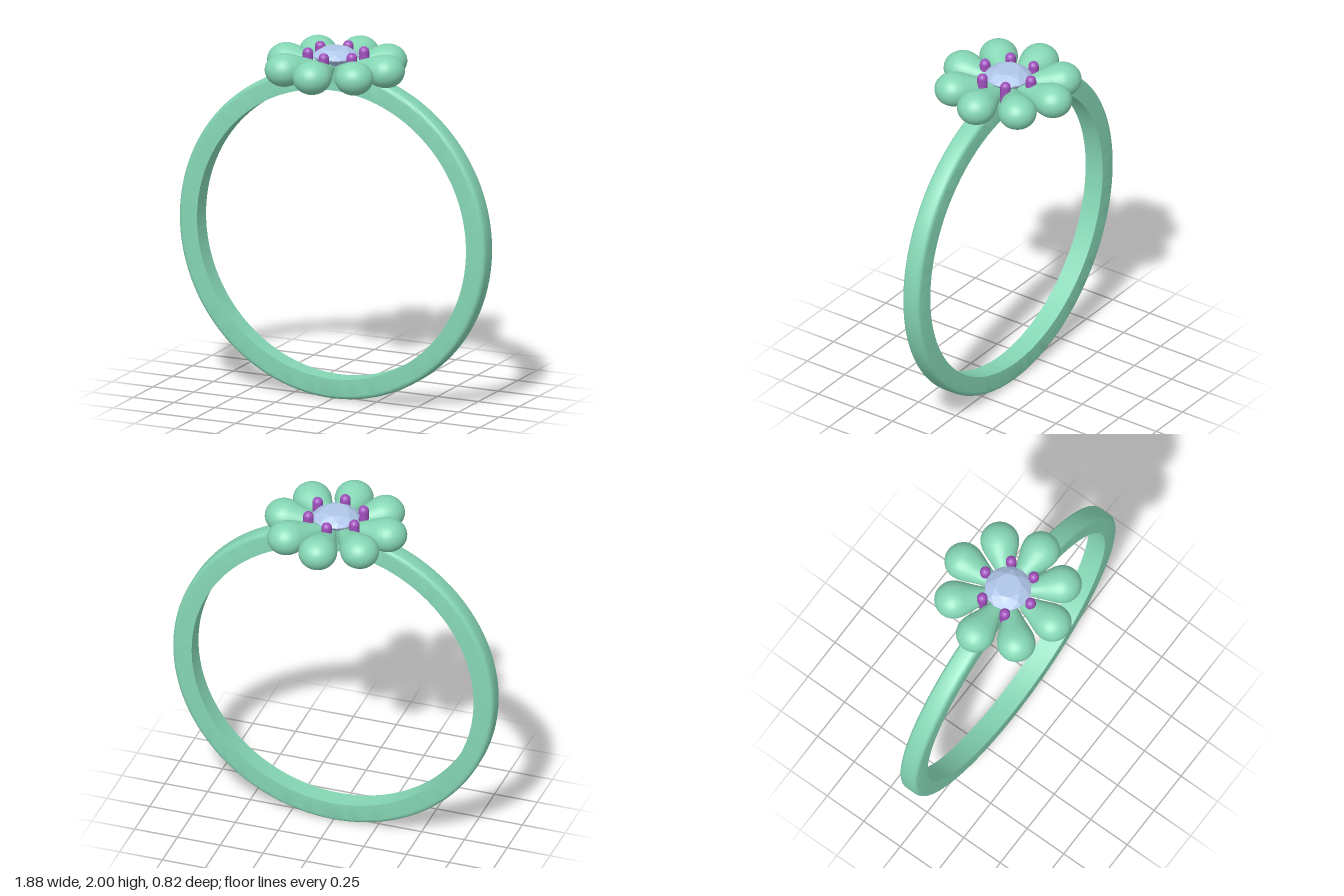
import * as THREE from 'three';
import { toCreasedNormals } from 'three/addons/utils/BufferGeometryUtils.js';
import { ConvexGeometry } from 'three/addons/geometries/ConvexGeometry.js';

const green = new THREE.MeshStandardMaterial({ color: 0x85d6b5 });
const purple = new THREE.MeshStandardMaterial({ color: 0xa050bc });
const blue = new THREE.MeshStandardMaterial({ color: 0xb0c6ea, flatShading: true });

const v2 = (x, y) => new THREE.Vector2(x, y);

function addMesh(parent, name, geometry, material) {
  const mesh = new THREE.Mesh(geometry, material);
  mesh.name = name;
  parent.add(mesh);
  return mesh;
}

// Band section: flat inside and sides, softened outer edges
function bandGeometry() {
  const inner = 0.823, outer = 0.938, half = 0.057, fillet = 0.026, n = 6;
  const profile = [v2(inner, -half)];
  for (const side of [-1, 1]) {
    for (let i = 0; i <= n; i++) {
      const a = side * (side < 0 ? 1 - i / n : i / n) * Math.PI / 2;
      profile.push(v2(outer - fillet + fillet * Math.cos(a),
        side * (half - fillet) + fillet * Math.sin(a)));
    }
  }
  profile.push(v2(inner, half), v2(inner, -half));
  const geometry = new THREE.LatheGeometry(profile, 128);
  geometry.rotateX(Math.PI / 2);
  return toCreasedNormals(geometry, 0.6);
}

// Teardrop with its tip at the flower's centre and its bulb outwards along +x
function petalGeometry() {
  const bulb = 0.107, centre = 0.303;
  const taper = new THREE.SplineCurve([
    v2(0, 0.03), v2(0.02, 0.06), v2(0.044, 0.12), v2(0.067, 0.18),
    v2(0.088, 0.23), v2(0.102, 0.268), v2(bulb, centre),
  ]).getPoints(18);
  const profile = taper.map((p) => v2(Math.max(p.x, 0), p.y));
  for (let i = 1; i <= 12; i++) {
    const a = (i / 12) * Math.PI / 2;
    profile.push(v2(bulb * Math.cos(a), centre + bulb * Math.sin(a)));
  }
  const geometry = new THREE.LatheGeometry(profile, 36);
  geometry.rotateZ(-Math.PI / 2);
  geometry.scale(1, 0.87, 1);
  return geometry;
}

// Brilliant cut: octagonal table, thin girdle, pointed pavilion
function gemGeometry() {
  const points = [new THREE.Vector3(0, -0.12, 0)];
  const ring = (count, radius, y, turn = 0) => {
    for (let i = 0; i < count; i++) {
      const a = ((i + turn) / count) * Math.PI * 2;
      points.push(new THREE.Vector3(radius * Math.cos(a), y, radius * Math.sin(a)));
    }
  };
  ring(8, 0.072, 0.04);
  ring(8, 0.106, 0.022, 0.5);
  ring(16, 0.13, 0);
  ring(16, 0.13, -0.006);
  return new ConvexGeometry(points);
}

export function createModel() {
  const model = new THREE.Group();
  model.name = 'flowerRing';

  addMesh(model, 'band', bandGeometry(), green).position.y = 0.943;

  const flower = new THREE.Group();
  flower.name = 'flower';
  flower.position.y = 1.896;
  model.add(flower);

  // Petals
  const petal = petalGeometry();
  for (let i = 0; i < 8; i++) {
    addMesh(flower, 'petal', petal, green).rotation.y = i * Math.PI / 4;
  }

  // Seat joining the flower to the band
  const seat = new THREE.CylinderGeometry(0.09, 0.08, 0.11, 32);
  addMesh(flower, 'seat', seat, green).position.y = -0.028;

  addMesh(flower, 'gem', gemGeometry(), blue).position.y = 0.059;

  // Round-tipped prongs holding the gem
  const prong = new THREE.CapsuleGeometry(0.029, 0.1, 8, 20);
  for (let i = 0; i < 6; i++) {
    const a = Math.PI / 6 + i * Math.PI / 3;
    addMesh(flower, 'prong', prong, purple)
      .position.set(0.155 * Math.cos(a), 0.025, 0.155 * Math.sin(a));
  }
  return model;
}
